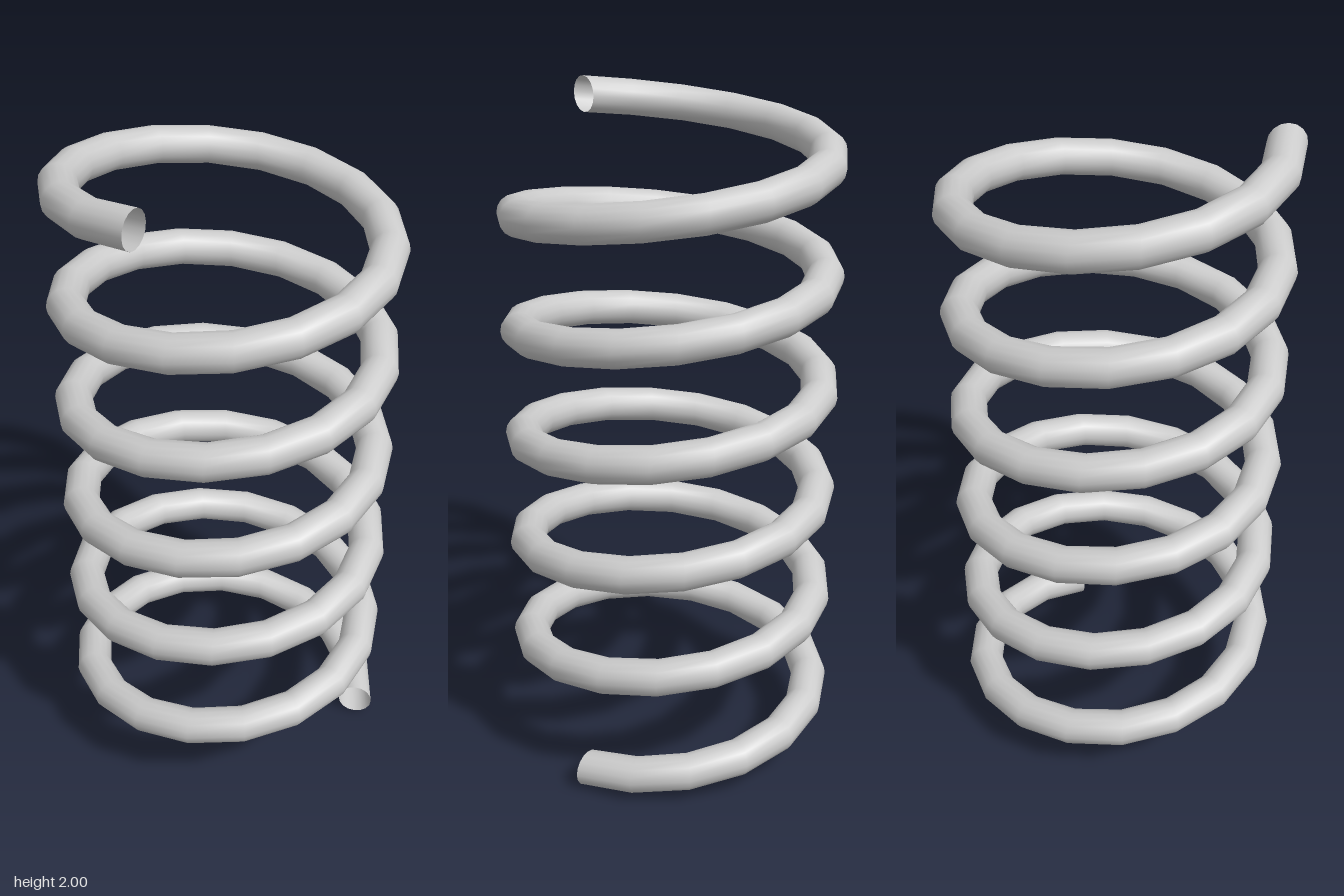
import * as THREE from 'three';
import { mergeVertices } from 'three/addons/utils/BufferGeometryUtils.js';

const COIL_RADIUS = 0.442;
const WIRE_RADIUS = 0.054;
const TURNS = 5.697;
const STEPS = 100; // along the wire
const SIDES = 16; // around the wire

export function createModel() {
  const group = new THREE.Group();
  group.name = 'coilSpring';

  // A torus arc of several turns, laid flat, then lifted step by step into a helix
  let geometry = new THREE.TorusGeometry(COIL_RADIUS, WIRE_RADIUS, SIDES, STEPS, TURNS * Math.PI * 2);
  geometry.rotateX(-Math.PI / 2);
  const rise = 2 - 2 * WIRE_RADIUS;
  const position = geometry.attributes.position;
  for (let i = 0; i < position.count; i++) {
    const t = (i % (STEPS + 1)) / STEPS;
    position.setY(i, position.getY(i) + WIRE_RADIUS + rise * t);
  }

  // Weld the seam so the wire shades smoothly all round
  geometry.deleteAttribute('uv');
  geometry.deleteAttribute('normal');
  geometry = mergeVertices(geometry);
  geometry.computeVertexNormals();

  // The wire is an open tube, so its inside shows at both ends
  const material = new THREE.MeshStandardMaterial({ color: 0xcccccc, side: THREE.DoubleSide });
  const wire = new THREE.Mesh(geometry, material);
  wire.name = 'springWire';
  group.add(wire);

  return group;
}
